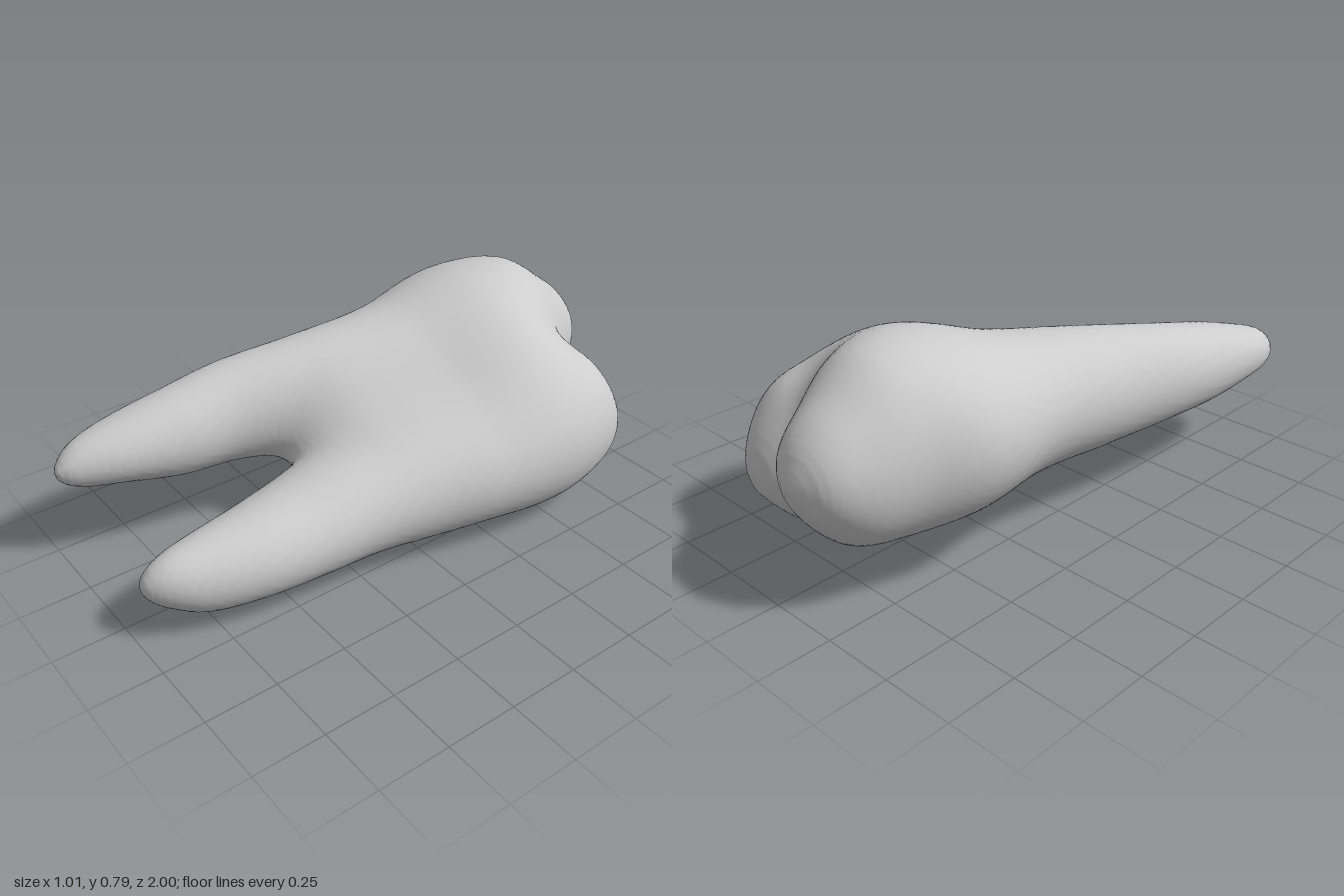
import * as THREE from 'three';

// Each lobe is a row of ellipses along z: [z, centreX, centreY, radiusX, radiusY]
const largeLobe = [
  [-1.0, -0.12, 0.445, 0, 0], [-0.95, -0.12, 0.445, 0.135, 0.135], [-0.85, -0.12, 0.44, 0.205, 0.23],
  [-0.7, -0.11, 0.47, 0.275, 0.3], [-0.5, -0.105, 0.475, 0.35, 0.31], [-0.2, -0.165, 0.457, 0.26, 0.243],
  [0.1, -0.24, 0.435, 0.21, 0.215], [0.4, -0.33, 0.422, 0.16, 0.178], [0.6, -0.355, 0.402, 0.145, 0.152],
  [0.8, -0.385, 0.392, 0.118, 0.108], [0.92, -0.40, 0.38, 0.078, 0.078], [1.0, -0.40, 0.37, 0, 0],
];
const smallLobe = [
  [-0.845, 0.31, 0.26, 0, 0], [-0.8, 0.29, 0.285, 0.12, 0.135], [-0.7, 0.25, 0.31, 0.22, 0.25],
  [-0.5, 0.18, 0.305, 0.325, 0.305], [-0.2, 0.18, 0.275, 0.28, 0.245], [0.0, 0.165, 0.255, 0.235, 0.22],
  [0.2, 0.13, 0.235, 0.22, 0.195], [0.4, 0.13, 0.21, 0.19, 0.17], [0.6, 0.13, 0.195, 0.16, 0.15],
  [0.8, 0.115, 0.188, 0.115, 0.125], [0.9, 0.105, 0.20, 0.075, 0.085], [0.97, 0.09, 0.20, 0, 0],
];
// How softly the lobes melt together along z: sharp cleft, full body, separate roots
const blendRows = [[-0.8, 0.09], [-0.5, 0.2], [-0.1, 0.3], [0.1, 0.3], [0.2, 0.24], [0.3, 0.15], [0.45, 0.06]];

// Approximate signed distance to a lobe; squared radii are interpolated so the tips are round
function lobeField(rows) {
  const curve = new THREE.CubicInterpolant(
    rows.map(r => r[0]),
    rows.flatMap(([, x, y, a, b]) => [x, y, a * a, b * b]), 4);
  const z0 = rows[0][0], z1 = rows[rows.length - 1][0];
  return (x, y, z) => {
    const [cx, cy, a2, b2] = curve.evaluate(THREE.MathUtils.clamp(z, z0, z1));
    const a = Math.sqrt(Math.max(a2, 1e-4)), b = Math.sqrt(Math.max(b2, 1e-4));
    const d = (Math.hypot((x - cx) / a, (y - cy) / b) - 1) * Math.min(a, b);
    const beyond = Math.max(z0 - z, z - z1, 0);
    return beyond > 0 ? Math.hypot(Math.max(d, 0), beyond) : d;
  };
}

// Wraps a smooth skin around the negative region of a field, one vertex per crossed cell
function skinGeometry(field, min, size, h) {
  const n = size.map(s => Math.ceil(s / h) + 1);
  const step = [1, n[0], n[0] * n[1]];
  const values = new Float32Array(n[0] * n[1] * n[2]);
  const eachCell = (from, visit) => {
    for (let k = from; k < n[2] - 1; k++)
      for (let j = from; j < n[1] - 1; j++)
        for (let i = from; i < n[0] - 1; i++) visit([i, j, k], i + j * step[1] + k * step[2]);
  };
  for (let k = 0, c = 0; k < n[2]; k++)
    for (let j = 0; j < n[1]; j++)
      for (let i = 0; i < n[0]; i++) values[c++] = field(min[0] + i * h, min[1] + j * h, min[2] + k * h);

  const positions = [], indices = [], vertexOf = new Int32Array(values.length).fill(-1);
  eachCell(0, (cell, c) => {
    const sum = [0, 0, 0];
    let hits = 0;
    for (let corner = 0; corner < 8; corner++) {
      const bits = [corner & 1, (corner >> 1) & 1, corner >> 2];
      const p = c + bits[0] * step[0] + bits[1] * step[1] + bits[2] * step[2];
      for (let d = 0; d < 3; d++) {
        if (bits[d]) continue;
        const f = values[p], g = values[p + step[d]];
        if ((f < 0) === (g < 0)) continue;
        for (let e = 0; e < 3; e++) sum[e] += bits[e] + (e === d ? f / (f - g) : 0);
        hits++;
      }
    }
    if (!hits) return;
    vertexOf[c] = positions.length / 3;
    for (let e = 0; e < 3; e++) positions.push(min[e] + (cell[e] + sum[e] / hits) * h);
  });
  eachCell(1, (cell, c) => {
    for (let d = 0; d < 3; d++) {
      const inside = values[c] < 0;
      if (inside === (values[c + step[d]] < 0)) continue;
      const u = step[(d + 1) % 3], v = step[(d + 2) % 3];
      const quad = [c, c - u, c - u - v, c - v].map(q => vertexOf[q]);
      if (!inside) quad.reverse();
      indices.push(quad[0], quad[1], quad[2], quad[0], quad[2], quad[3]);
    }
  });
  const geometry = new THREE.BufferGeometry();
  geometry.setAttribute('position', new THREE.Float32BufferAttribute(positions, 3));
  geometry.setIndex(indices);
  geometry.computeVertexNormals();
  return geometry;
}

export function createModel() {
  const group = new THREE.Group();
  group.name = 'tooth';
  const enamel = new THREE.MeshStandardMaterial({ color: 0xcccccc });
  enamel.name = 'light grey';

  const large = lobeField(largeLobe), small = lobeField(smallLobe);
  const blend = new THREE.CubicInterpolant(blendRows.map(r => r[0]), blendRows.map(r => r[1]), 1);
  const field = (x, y, z) => {
    const a = large(x, y, z), b = small(x, y, z), k = blend.evaluate(z)[0];
    const t = Math.max(k - Math.abs(a - b), 0) / k;
    return Math.min(a, b) - t * t * k / 4;
  };

  // Crown with two cusps running into two roots
  const tooth = new THREE.Mesh(skinGeometry(field, [-0.6, -0.1, -1.08], [1.2, 1.0, 2.16], 0.018), enamel);
  tooth.name = 'crownAndRoots';
  group.add(tooth);
  return group;
}
